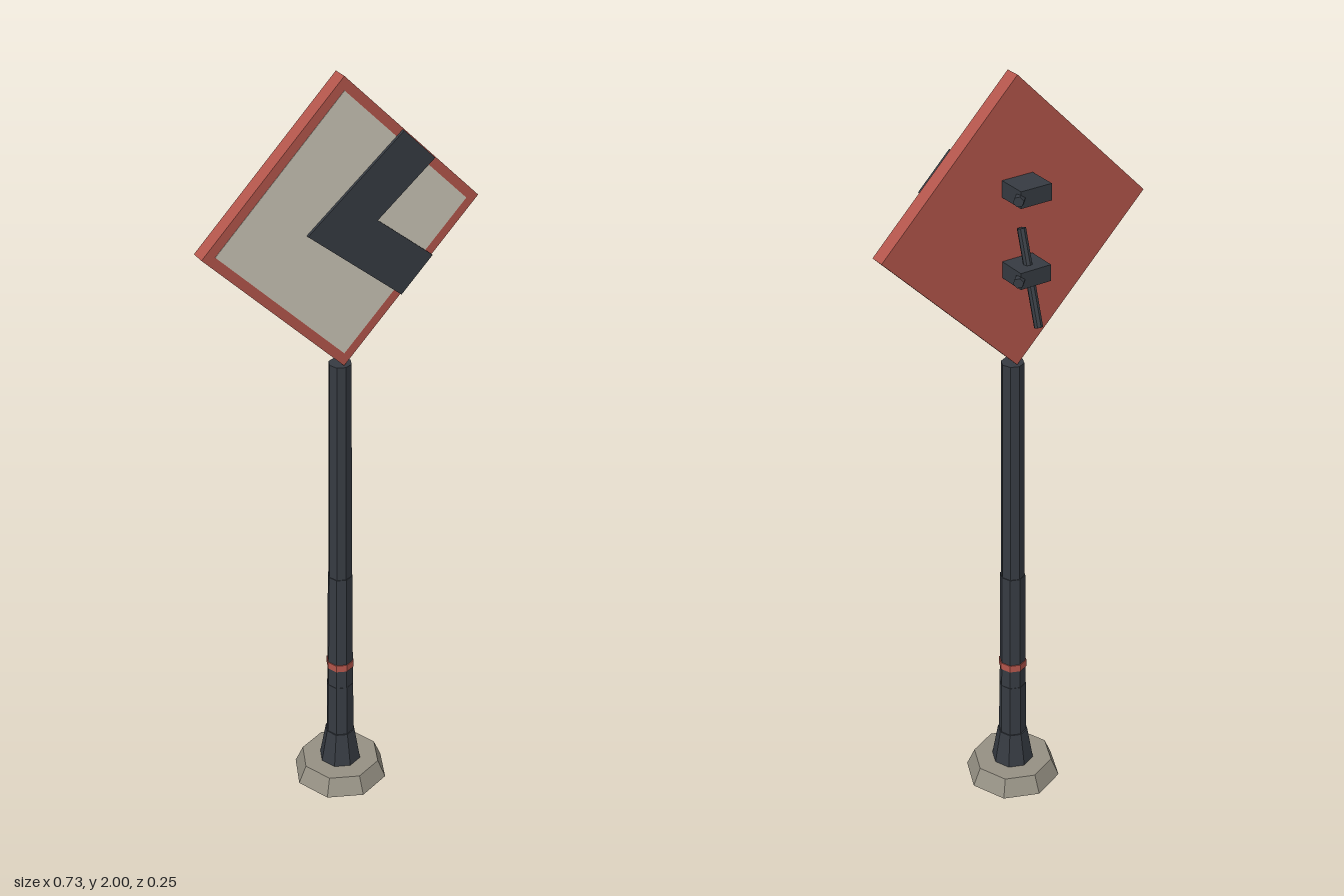
import * as THREE from 'three';

const paint = (color) => new THREE.MeshStandardMaterial({ color, flatShading: true });
const DARK = paint(0x363b42);
const RED = paint(0xb3554b);
const CREAM = paint(0xcbc5b6);
const STONE = paint(0x969184);

export function createModel() {
  const model = new THREE.Group();

  const add = (parent, name, geometry, material, x = 0, y = 0, z = 0) => {
    const mesh = new THREE.Mesh(geometry, material);
    mesh.name = name;
    mesh.position.set(x, y, z);
    parent.add(mesh);
    return mesh;
  };

  // Upright round parts given by bottom and top height and radius
  const column = (name, y0, y1, r0, r1, sides, material) =>
    add(model, name, new THREE.CylinderGeometry(r1, r0, y1 - y0, sides), material, 0, (y0 + y1) / 2);

  column('footing', 0, 0.05, 0.127, 0.106, 8, STONE);
  column('poleBoot', 0.05, 0.145, 0.056, 0.04, 8, DARK);
  column('lowerPole', 0.145, 0.3, 0.037, 0.036, 8, DARK);
  column('middlePole', 0.3, 0.645, 0.035, 0.033, 8, DARK);
  column('upperPole', 0.645, 1.265, 0.031, 0.029, 8, DARK);
  column('poleBand', 0.355, 0.375, 0.037, 0.037, 8, RED);

  // Diamond board with inset face and chevron
  const sign = new THREE.Group();
  sign.name = 'sign';
  sign.position.y = 1.633;
  model.add(sign);

  const diamond = (half, depth) => {
    const side = half * Math.SQRT2;
    return new THREE.BoxGeometry(side, side, depth).rotateZ(Math.PI / 4);
  };
  add(sign, 'board', diamond(0.367, 0.039), RED);
  add(sign, 'signFace', diamond(0.333, 0.004), CREAM, 0, 0, 0.0185);

  const outline = [
    [-0.1, 0], [0.085, 0], [0.238, 0.125], [0.153, 0.21],
  ];
  const chevronShape = new THREE.Shape([
    outline[0], [0.153, -0.21], [0.238, -0.125], outline[1], outline[2], outline[3],
  ].map(([x, y]) => new THREE.Vector2(x, y)));
  add(sign, 'chevron',
    new THREE.ExtrudeGeometry(chevronShape, { depth: 0.007, bevelEnabled: false }), DARK, 0, 0, 0.021);

  // Rear clamps, each with a bolt across its outer corner
  for (const y of [0.102, -0.102]) {
    const clamp = new THREE.Group();
    clamp.name = 'rearClamp';
    clamp.position.y = y;
    sign.add(clamp);
    add(clamp, 'clampBlock', new THREE.BoxGeometry(0.085, 0.042, 0.08), DARK, 0, 0, -0.056);
    const bolt = add(clamp, 'clampBolt', new THREE.CylinderGeometry(0.013, 0.013, 0.04, 6), DARK, 0.038, 0, -0.086);
    bolt.quaternion.setFromUnitVectors(
      new THREE.Vector3(0, 1, 0), new THREE.Vector3(1, 0, -1).normalize());
  }

  // Slanted brace through the lower clamp
  const top = new THREE.Vector3(0, 0, -0.036);
  const bottom = new THREE.Vector3(0, -0.227, -0.108);
  const span = top.clone().sub(bottom);
  const brace = add(sign, 'brace', new THREE.CylinderGeometry(0.011, 0.011, span.length(), 8), DARK);
  brace.position.copy(top).add(bottom).multiplyScalar(0.5);
  brace.quaternion.setFromUnitVectors(new THREE.Vector3(0, 1, 0), span.normalize());

  return model;
}
